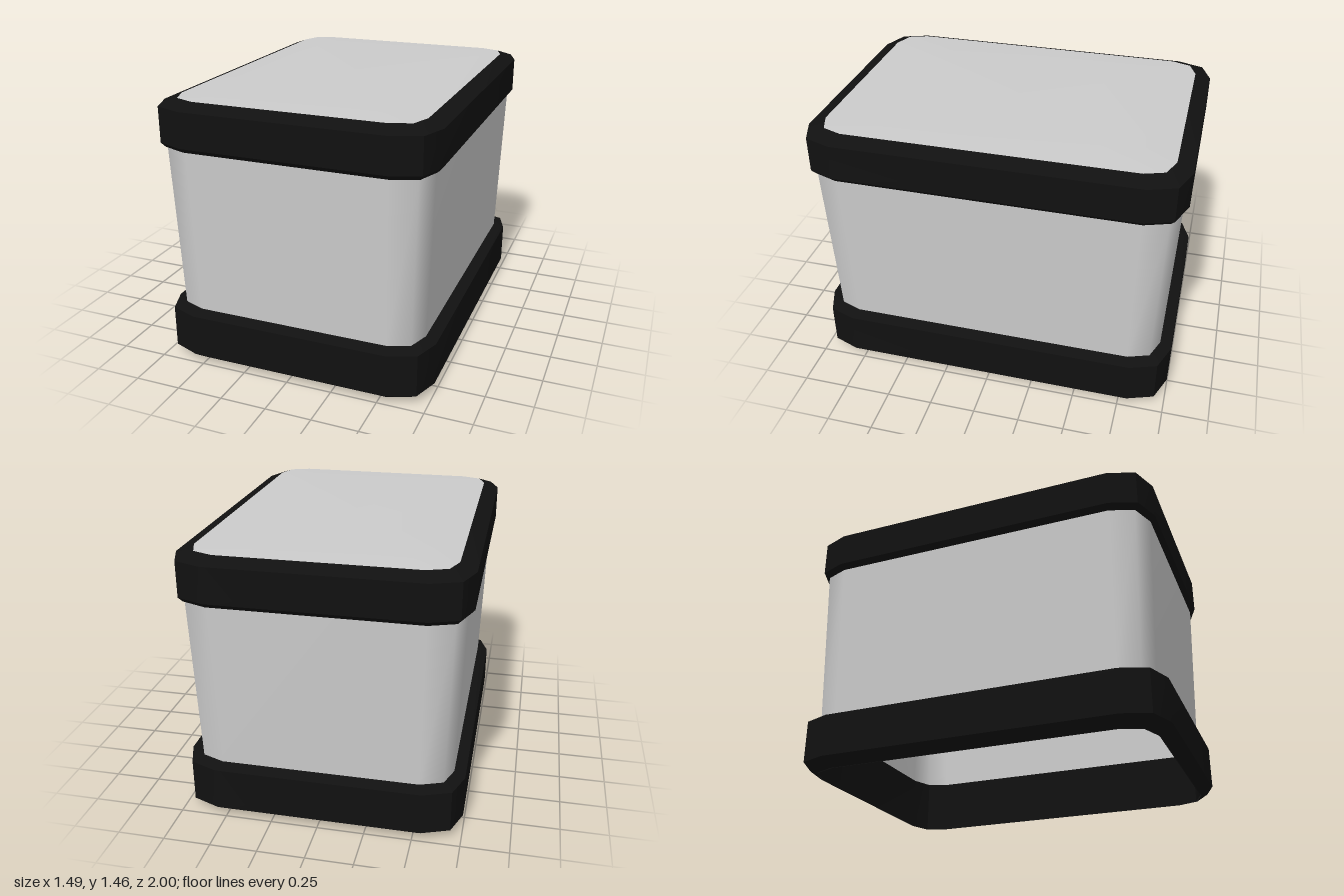
import * as THREE from 'three';
import { toCreasedNormals } from 'three/addons/utils/BufferGeometryUtils.js';

const grey = new THREE.MeshStandardMaterial({ color: 0xcccccc, side: THREE.DoubleSide });
const black = new THREE.MeshStandardMaterial({ color: 0x111111, side: THREE.DoubleSide });

// Rectangle with two-facet corners: half width, half depth, corner size
function outline(hx, hz, c) {
  const corner = [[hx, hz - c], [hx - 0.26 * c, hz - 0.28 * c], [hx - c, hz]];
  const flip = (sx, sz) => corner.map(([x, z]) => [x * sx, z * sz]);
  return [
    ...flip(1, 1), ...flip(-1, 1).reverse(),
    ...flip(-1, -1), ...flip(1, -1).reverse(),
  ];
}

// Skin through stacked outlines, each given as [half width, half depth, y, corner]
function loft(sections) {
  const positions = [], index = [];
  let n = 0;
  for (const [hx, hz, y, c] of sections) {
    const points = outline(hx, hz, c);
    n = points.length;
    for (const [x, z] of points) positions.push(x, y, z);
  }
  for (let s = 0; s < sections.length - 1; s++) {
    for (let i = 0; i < n; i++) {
      const a = s * n + i, b = s * n + (i + 1) % n;
      index.push(a, a + n, b, b, a + n, b + n);
    }
  }
  const geometry = new THREE.BufferGeometry();
  geometry.setAttribute('position', new THREE.Float32BufferAttribute(positions, 3));
  geometry.setIndex(index);
  geometry.computeVertexNormals();
  return geometry;
}

function addPart(group, name, geometry, material) {
  const mesh = new THREE.Mesh(geometry, material);
  mesh.name = name;
  group.add(mesh);
}

export function createModel() {
  const group = new THREE.Group();
  group.name = 'container';

  // Open base band with chamfered edges and an upright inner face
  addPart(group, 'baseBand', toCreasedNormals(loft([
    [0.685, 0.935, 0, 0.16],
    [0.745, 1, 0.05, 0.2],
    [0.745, 1, 0.28, 0.2],
    [0.685, 0.935, 0.302, 0.16],
    [0.68, 0.93, 0.302, 0.16],
    [0.68, 0.93, 0, 0.16],
  ]), 0.6), black);

  // Tapered wall, carried on inside the lid
  addPart(group, 'wall', loft([
    [0.685, 0.938, 0.29, 0.16],
    [0.715, 0.972, 1.2, 0.18],
    [0.72, 0.976, 1.37, 0.18],
  ]), grey);

  // Lid band
  addPart(group, 'lidBand', toCreasedNormals(loft([
    [0.705, 0.962, 1.195, 0.18],
    [0.722, 0.977, 1.195, 0.18],
    [0.745, 1, 1.22, 0.2],
    [0.745, 1, 1.41, 0.2],
    [0.66, 0.915, 1.443, 0.145],
  ]), 0.6), black);

  // Gently domed lid panel
  const dome = [[1, 1.443], [0.8, 1.45], [0.4, 1.453], [0, 1.455]];
  addPart(group, 'lidPanel', loft(
    dome.map(([s, y]) => [0.66 * s, 0.915 * s, y, 0.145 * s])
  ), grey);

  return group;
}
